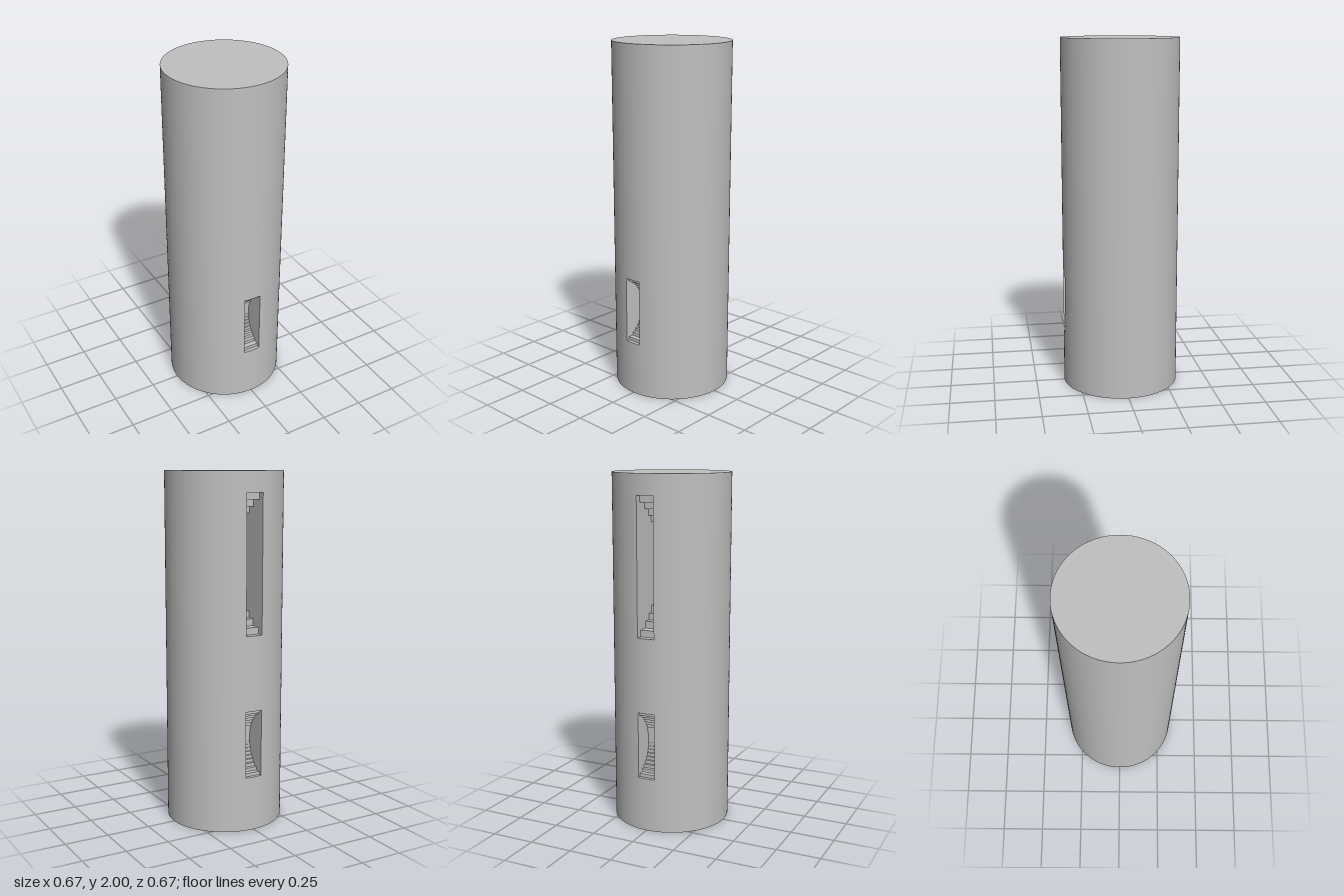
import * as THREE from 'three';

const R = 0.333, H = 2, HALF = 0.05;
const SLOT_ANGLE = Math.asin(HALF / R);
const MOUTH = Math.sqrt(R * R - HALF * HALF);
const STEPS = 20;

export function createModel() {
  const group = new THREE.Group();
  const grey = new THREE.MeshStandardMaterial({ color: 0xc0c0c0 });
  grey.name = 'plain grey';

  const add = (parent, geometry, name) => {
    const mesh = new THREE.Mesh(geometry, grey);
    mesh.name = name;
    parent.add(mesh);
    return mesh;
  };

  // Curved piece of the outer wall between two heights and two angles
  const wall = (y0, y1, start, length, segments, name) => {
    const g = new THREE.CylinderGeometry(R, R, y1 - y0, segments, 1, true, start, length);
    add(group, g.translate(0, (y0 + y1) / 2, 0), name);
  };

  // Stepped pocket whose floor follows an arc; built facing +z
  const pocket = (y0, y1, depth, name) => {
    const part = new THREE.Group();
    part.name = name;
    const half = (y1 - y0) / 2, mid = (y0 + y1) / 2;
    const arc = (half * half + depth * depth) / (2 * depth);
    const profile = [[MOUTH, y1]];
    for (let i = 0; i < STEPS; i++) {
      const top = y1 - (i / STEPS) * (y1 - y0);
      const bottom = y1 - ((i + 1) / STEPS) * (y1 - y0);
      const off = (top + bottom) / 2 - mid;
      const z = R - (Math.sqrt(arc * arc - off * off) - (arc - depth));
      profile.push([z, top], [z, bottom]);
    }
    profile.push([MOUTH, y0]);

    // Stepped floor, its two ends fitted to the round surface
    const columns = 6, last = profile.length - 1;
    const floor = new THREE.PlaneGeometry(2 * HALF, 1, columns, last);
    const pos = floor.attributes.position;
    for (let i = 0; i < pos.count; i++) {
      const row = Math.floor(i / (columns + 1)), x = pos.getX(i);
      const atMouth = row === 0 || row === last;
      pos.setXYZ(i, x, profile[row][1], atMouth ? Math.sqrt(R * R - x * x) : profile[row][0]);
    }
    const flat = floor.toNonIndexed();
    flat.computeVertexNormals();
    add(part, flat, 'pocketFloor');

    // Flat side walls facing each other
    for (const side of [1, -1]) {
      const shape = new THREE.Shape(profile.map(([z, y]) => new THREE.Vector2(side * z, y)));
      const g = new THREE.ShapeGeometry(shape).rotateY(-side * Math.PI / 2);
      add(part, g.translate(side * HALF, 0, 0), 'pocketSide');
    }
    group.add(part);
    return part;
  };

  // Left and right halves of the wall
  const span = Math.PI - 2 * SLOT_ANGLE;
  wall(0, H, SLOT_ANGLE, span, 58, 'leftWall');
  wall(0, H, Math.PI + SLOT_ANGLE, span, 58, 'rightWall');

  // Narrow strips above, below and between the slots
  for (const [y0, y1] of [[0, 0.31], [0.69, H]])
    wall(y0, y1, -SLOT_ANGLE, 2 * SLOT_ANGLE, 6, 'frontStrip');
  for (const [y0, y1] of [[0, 0.31], [0.69, 1.115], [1.885, H]])
    wall(y0, y1, Math.PI - SLOT_ANGLE, 2 * SLOT_ANGLE, 6, 'backStrip');

  // End caps
  add(group, new THREE.CircleGeometry(R, 128).rotateX(-Math.PI / 2).translate(0, H, 0), 'topCap');
  add(group, new THREE.CircleGeometry(R, 128).rotateX(Math.PI / 2), 'bottomCap');

  // One short pocket in front; a short and a long one behind
  pocket(0.31, 0.69, 0.13, 'frontPocket');
  pocket(0.31, 0.69, 0.13, 'lowerBackPocket').rotation.y = Math.PI;
  pocket(1.115, 1.885, 0.26, 'upperBackPocket').rotation.y = Math.PI;

  return group;
}
